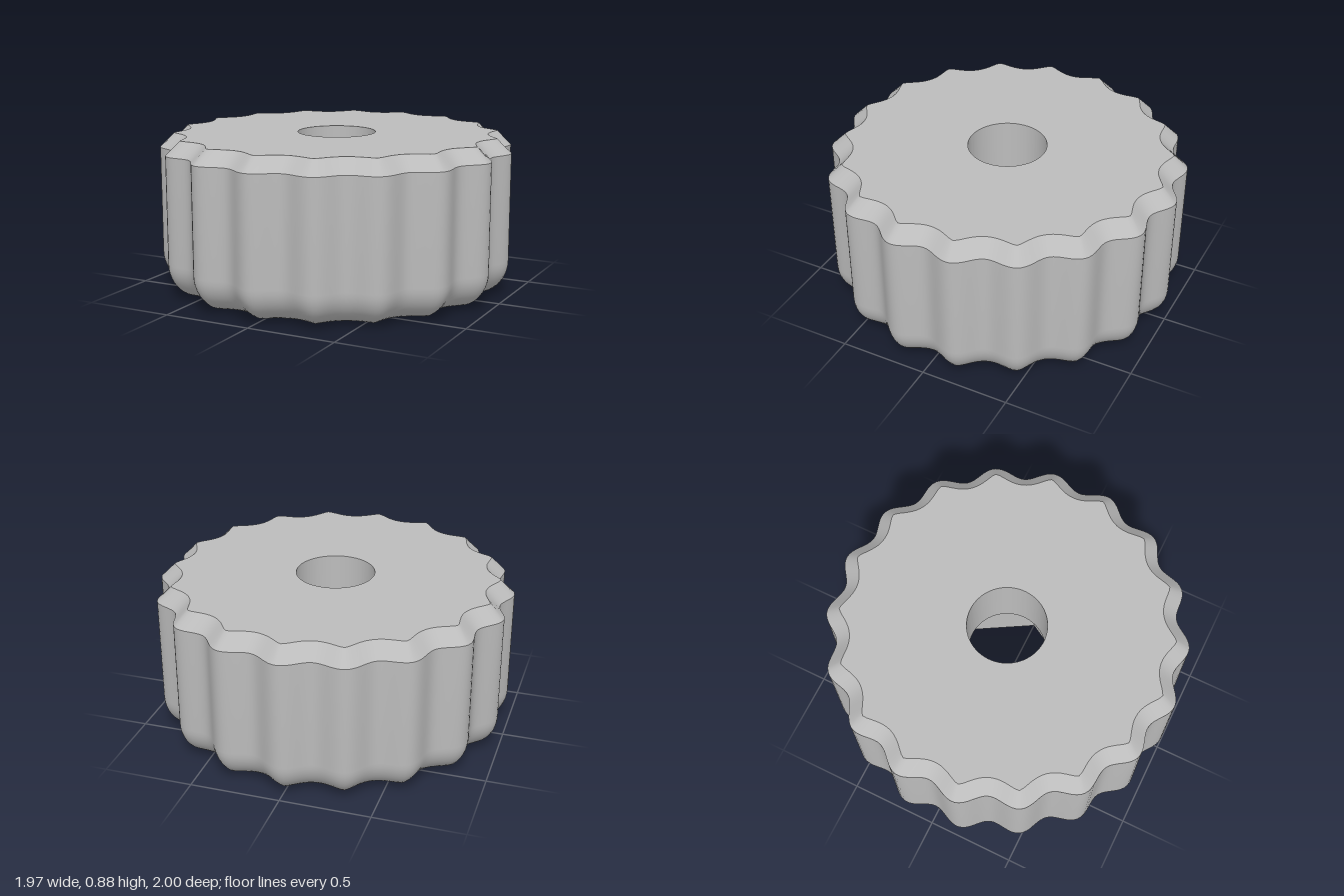
import * as THREE from 'three';
import { toCreasedNormals } from 'three/addons/utils/BufferGeometryUtils.js';

const LOBES = 18, N = LOBES * 16;
const HEIGHT = 0.885, CHAMFER = 0.08, FILLET = 0.2;
const BORE = 0.22, HEX = 0.38, POCKET = 0.5;

// Scalloped grip outline; the angle runs from +z towards +x
const grip = a => 0.967 + 0.033 * Math.cos(LOBES * a);

// Grip outline moved inwards by an even distance d
function inset(a, d) {
  let best = grip(a) - d;
  const steps = 40, reach = d / 0.9;
  for (let j = -steps; j <= steps; j++) {
    const delta = reach * j / steps;
    const rho = grip(a + delta);
    const s = d * d - (rho * Math.sin(delta)) ** 2;
    if (s >= 0) best = Math.min(best, rho * Math.cos(delta) - Math.sqrt(s));
  }
  return best;
}

// Hexagon with corners on the x axis
function hexagon(a) {
  const sector = Math.PI / 3;
  const t = (((a - Math.PI / 2) % sector) + sector + 1e-9) % sector;
  return HEX * Math.cos(sector / 2) / Math.cos(t - sector / 2);
}
const circle = () => BORE;

// Joins closed rings [radius rule, y] into a band
function band(name, material, rings) {
  const pos = [], index = [];
  for (const [radius, y] of rings) {
    for (let i = 0; i < N; i++) {
      const a = i / N * Math.PI * 2, r = radius(a);
      pos.push(r * Math.sin(a), y, r * Math.cos(a));
    }
  }
  for (let k = 0; k < rings.length - 1; k++) {
    for (let i = 0; i < N; i++) {
      const j = (i + 1) % N, lo = k * N, up = lo + N;
      index.push(lo + i, lo + j, up + j, lo + i, up + j, up + i);
    }
  }
  const geo = new THREE.BufferGeometry();
  geo.setAttribute('position', new THREE.Float32BufferAttribute(pos, 3));
  geo.setIndex(index);
  const mesh = new THREE.Mesh(toCreasedNormals(geo, 0.7), material);
  mesh.name = name;
  return mesh;
}

export function createModel() {
  const group = new THREE.Group();
  group.name = 'knob';
  const grey = new THREE.MeshStandardMaterial({ color: 0xbcbcbc });
  grey.name = 'grey';

  // Rounded lower edge running up into the fluted wall
  const side = [];
  for (let i = 0; i <= 12; i++) {
    const t = i / 12 * Math.PI / 2;
    const d = FILLET * (1 - Math.sin(t));
    side.push([a => inset(a, d), FILLET * (1 - Math.cos(t))]);
  }
  const shoulder = HEIGHT - CHAMFER;
  side.push([grip, shoulder]);
  const topEdge = a => inset(a, CHAMFER);
  const bottomEdge = a => inset(a, FILLET);

  group.add(
    band('flutedGrip', grey, side),
    band('topChamfer', grey, [[grip, shoulder], [topEdge, HEIGHT]]),
    band('topFace', grey, [[topEdge, HEIGHT], [circle, HEIGHT]]),
    band('boreWall', grey, [[circle, HEIGHT], [circle, POCKET]]),
    band('pocketCeiling', grey, [[circle, POCKET], [hexagon, POCKET]]),
    band('hexPocketWall', grey, [[hexagon, POCKET], [hexagon, 0]]),
    band('bottomFace', grey, [[hexagon, 0], [bottomEdge, 0]])
  );
  return group;
}
